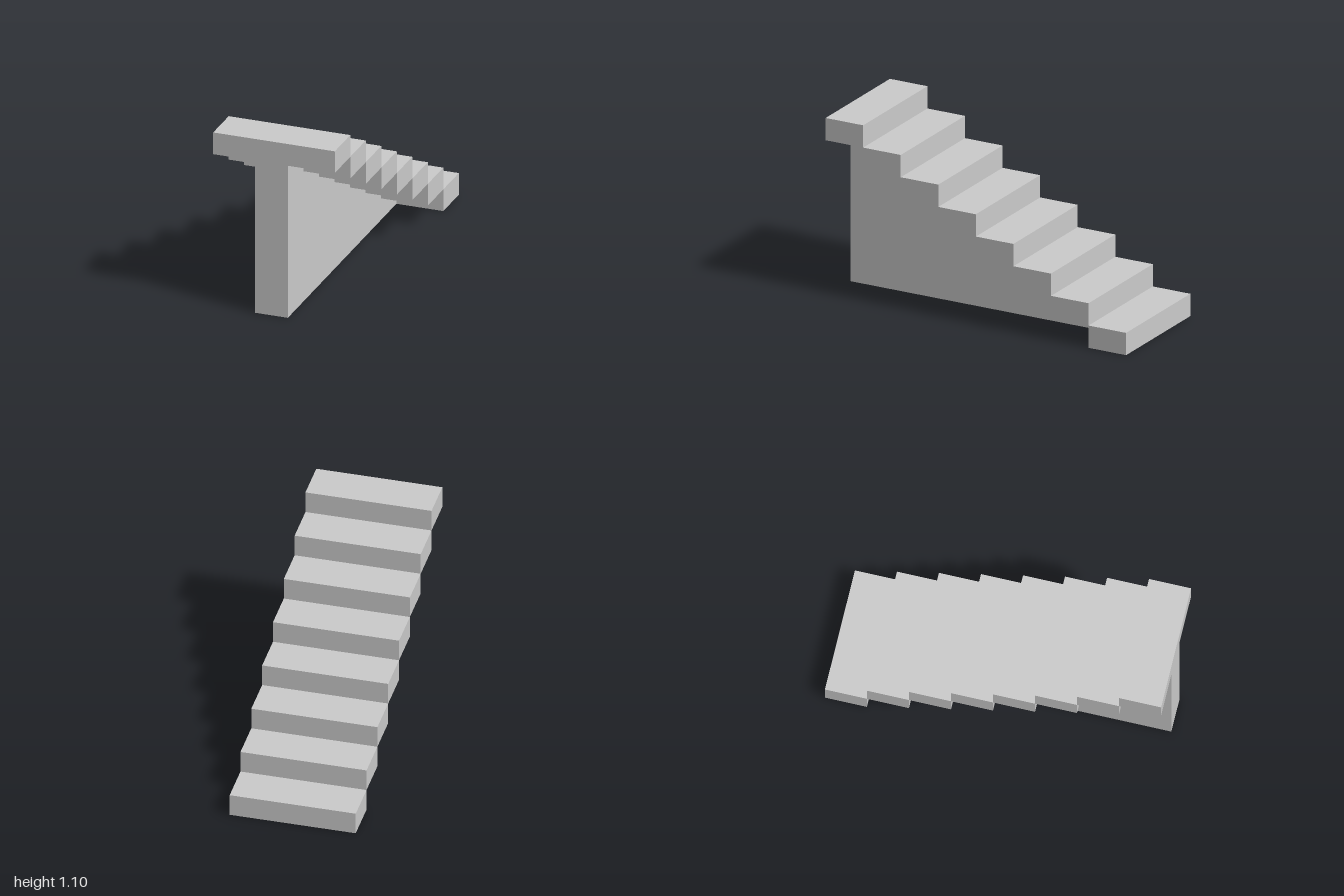
import * as THREE from 'three';

const STEPS = 8, RUN = 0.25, RISE = 0.1375, WIDTH = 0.754;
const WALL_LEFT = 0.086, WALL_RIGHT = -0.119;

export function createModel() {
  const group = new THREE.Group();
  group.name = 'staircase';
  const material = new THREE.MeshStandardMaterial({ color: 0xcccccc, flatShading: true });

  // Block treads, climbing from the back to the front
  const treadGeometry = new THREE.BoxGeometry(WIDTH, RISE, RUN);
  for (let i = 0; i < STEPS; i++) {
    const tread = new THREE.Mesh(treadGeometry, material);
    tread.name = `tread${i + 1}`;
    tread.position.set(0, (i + 0.5) * RISE, -1 + (i + 0.5) * RUN);
    group.add(tread);
  }

  // Supporting wall: stepped side profile (z, y) that meets the underside of each tread
  const profile = new THREE.Shape();
  profile.moveTo(1, 0);
  profile.lineTo(1, (STEPS - 1) * RISE);
  for (let i = STEPS - 1; i > 0; i--) {
    const z = -1 + i * RUN;
    profile.lineTo(z, i * RISE);
    profile.lineTo(z, (i - 1) * RISE);
  }
  const wallGeometry = new THREE.ExtrudeGeometry(profile, {
    depth: WALL_LEFT - WALL_RIGHT, bevelEnabled: false,
  });
  wallGeometry.rotateY(-Math.PI / 2).translate(WALL_LEFT, 0, 0);
  const wall = new THREE.Mesh(wallGeometry, material);
  wall.name = 'supportWall';
  group.add(wall);

  return group;
}
